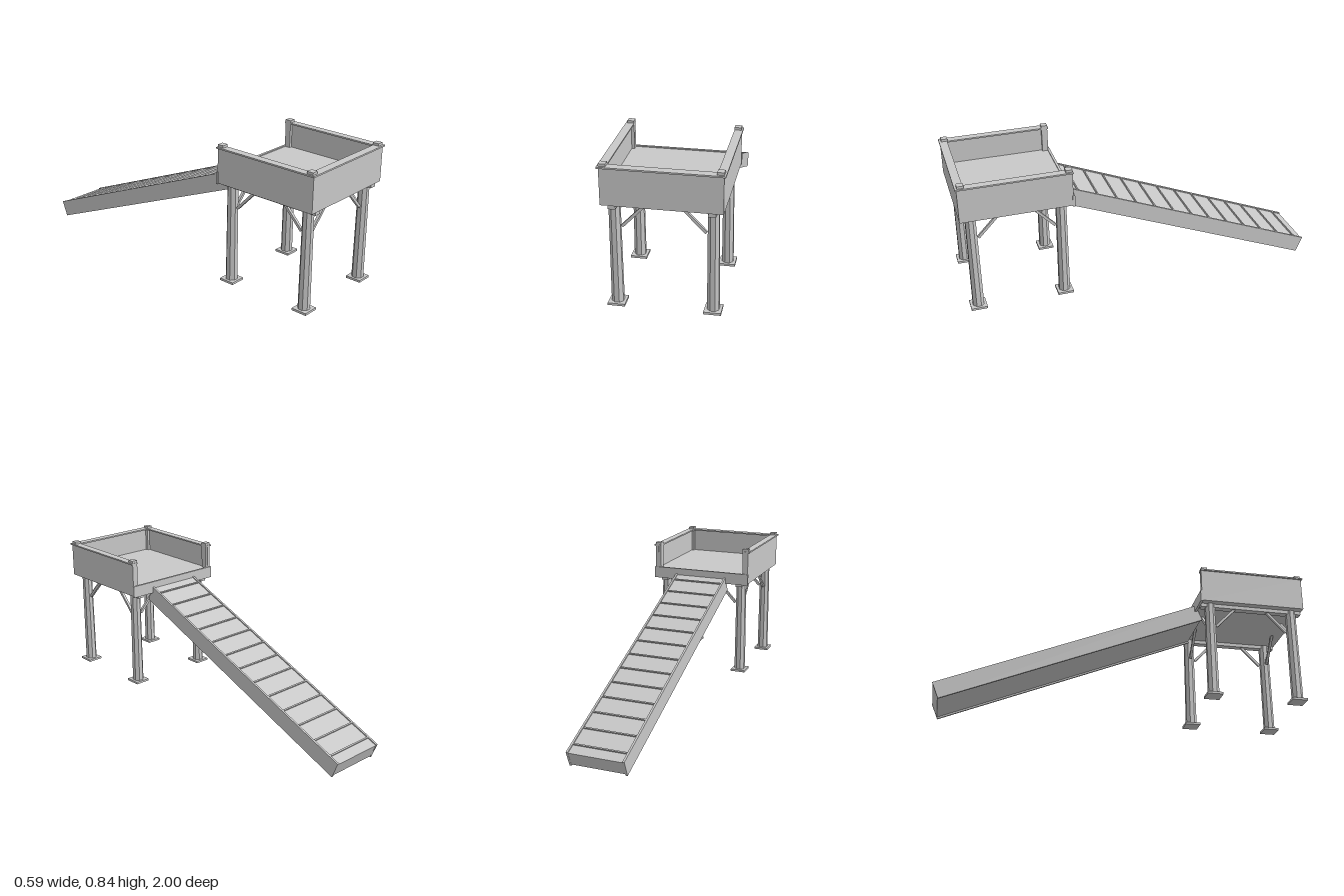
import * as THREE from 'three';

export function createModel() {
  const model = new THREE.Group();
  const grey = new THREE.MeshStandardMaterial({ color: 0xc8c8c8, flatShading: true });
  grey.name = 'plain grey';

  const add = (name, geometry, x, y, z, parent = model) => {
    const mesh = new THREE.Mesh(geometry, grey);
    mesh.name = name;
    mesh.position.set(x, y, z);
    parent.add(mesh);
    return mesh;
  };
  // box given by its lower and upper corners
  const box = (name, a, b, parent) => add(name,
    new THREE.BoxGeometry(b[0] - a[0], b[1] - a[1], b[2] - a[2]),
    (a[0] + b[0]) / 2, (a[1] + b[1]) / 2, (a[2] + b[2]) / 2, parent);
  // square bar between two points
  const bar = (name, from, to, size) => {
    const a = new THREE.Vector3(...from), b = new THREE.Vector3(...to);
    const mesh = add(name, new THREE.BoxGeometry(size, size, a.distanceTo(b)), 0, 0, 0);
    mesh.position.addVectors(a, b).multiplyScalar(0.5);
    mesh.lookAt(b);
  };

  const midZ = 0.7, legOffset = 0.234;

  // platform floor, rim at the open end and front wall
  box('floor', [-0.28, 0.63, 0.41], [0.28, 0.685, 0.985]);
  box('backRim', [-0.291, 0.625, 0.402], [0.291, 0.69, 0.415]);
  box('frontWall', [-0.288, 0.63, 0.975], [0.288, 0.817, 0.993]);
  box('frontRail', [-0.297, 0.815, 0.957], [0.297, 0.823, 1.0]);

  for (const s of [-1, 1]) {
    // side wall, hand rail and beam under the floor
    const wall = new THREE.BoxGeometry(0.018, 0.187, 0.575);
    add('sideWall', wall, s * 0.279, 0.7235, 0.6975);
    add('sideRail', new THREE.BoxGeometry(0.042, 0.008, 0.55), s * 0.276, 0.819, 0.682);
    add('floorBeam', new THREE.BoxGeometry(0.036, 0.022, 0.575), s * legOffset, 0.621, midZ);

    for (const t of [-1, 1]) {
      // corner post with its cap
      const postZ = t > 0 ? 0.972 : 0.428;
      add('cornerPost', new THREE.BoxGeometry(0.032, 0.14, 0.032), s * 0.271, 0.75, postZ);
      add('postCap', new THREE.BoxGeometry(0.034, 0.014, 0.034), s * 0.272, 0.829, postZ);

      // eight-sided leg on a foot plate
      const x = s * legOffset, z = midZ + t * legOffset;
      const legShape = new THREE.CylinderGeometry(0.0285, 0.0315, 0.535, 8);
      legShape.rotateY(Math.PI / 8);
      add('leg', legShape, x, 0.3635, z);
      add('footPlate', new THREE.BoxGeometry(0.085, 0.012, 0.085), x, 0.091, z);

      // diagonal braces, one across and one lengthwise
      bar('crossBrace', [s * 0.2, 0.502, z], [s * 0.073, 0.635, z], 0.014);
      bar('lengthBrace', [x, 0.502, midZ + t * 0.2], [x, 0.635, midZ + t * 0.073], 0.014);
    }
  }

  // sloping ramp, built level and then tilted
  const ramp = new THREE.Group();
  ramp.name = 'ramp';
  const half = 0.7615;
  box('rampDeck', [-0.146, -0.037, -half + 0.001], [0.146, 0.04, half - 0.001], ramp);
  for (const s of [-1, 1]) {
    add('rampSide', new THREE.BoxGeometry(0.011, 0.092, half * 2), s * 0.15, 0, 0, ramp);
  }
  for (let i = 0; i < 13; i++) {
    add('rampCleat', new THREE.BoxGeometry(0.288, 0.008, 0.008), 0, 0.043, -0.7 + i * 0.1165, ramp);
  }
  ramp.position.set(0, 0.331, -0.278);
  ramp.rotation.x = -0.388;
  model.add(ramp);

  return model;
}
